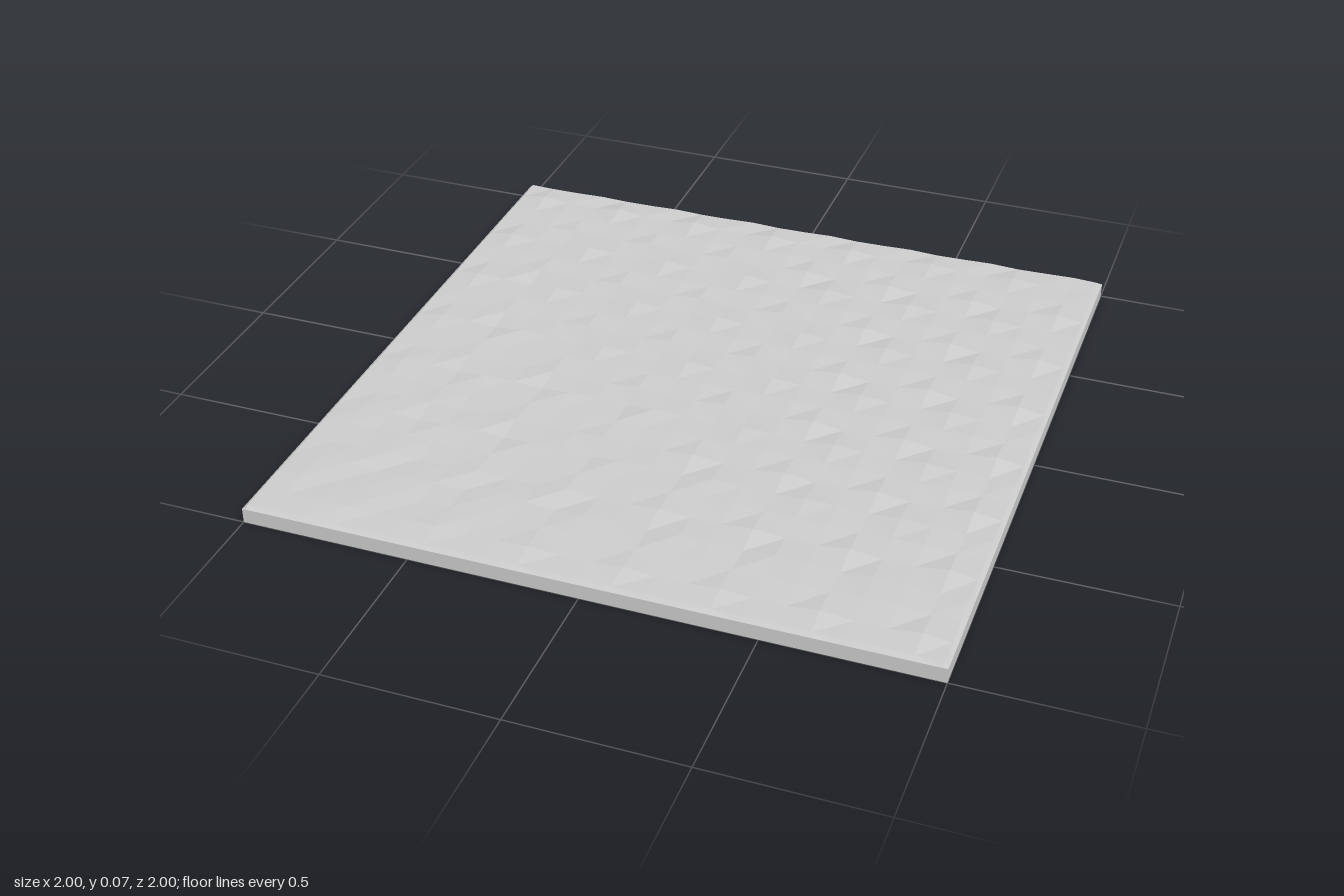
import * as THREE from 'three';

const CELLS = 22, EDGE = 0.045, INSET = 0.012;

// Grid lines across the slab, with an extra pair for the bevelled rim
function gridLines() {
  const lines = [-1, -1 + INSET];
  for (let i = 1; i < CELLS; i++) lines.push(-1 + (2 * i) / CELLS);
  lines.push(1 - INSET, 1);
  return lines;
}

// Interfering waves give the small pits, diagonal grooves and ridges
function height(x, z) {
  const d = Math.max(Math.abs(x), Math.abs(z));
  if (d > 0.999) return EDGE;
  const pits = Math.sin(22.7 * x) * Math.cos(22.7 * (z - 0.91));
  const grooves = Math.sin(24 * (x - z) + 0.8);
  const y = 0.058 + 0.0055 * pits + 0.0025 * grooves;
  return d > 0.95 ? 0.055 + (y - 0.058) * 0.4 : y;
}

function createSurface() {
  const lines = gridLines(), n = lines.length, pos = [];
  const point = (i, j) => [lines[i], height(lines[i], lines[j]), lines[j]];
  for (let j = 0; j < n - 1; j++) {
    for (let i = 0; i < n - 1; i++) {
      const a = point(i, j), b = point(i + 1, j);
      const c = point(i + 1, j + 1), d = point(i, j + 1);
      // Fold each cell along its more level diagonal
      const level = Math.abs(a[1] - c[1]) < Math.abs(b[1] - d[1]);
      const corners = level ? [a, d, c, a, c, b] : [a, d, b, b, d, c];
      corners.forEach((p) => pos.push(...p));
    }
  }
  const geometry = new THREE.BufferGeometry();
  geometry.setAttribute('position', new THREE.Float32BufferAttribute(pos, 3));
  geometry.computeVertexNormals();
  return geometry;
}

export function createModel() {
  const group = new THREE.Group();
  group.name = 'groundTile';
  const material = new THREE.MeshStandardMaterial({ color: 0xcccccc, flatShading: true });

  // Flat slab under the relief
  const slab = new THREE.Mesh(new THREE.BoxGeometry(2, EDGE, 2), material);
  slab.name = 'slab';
  slab.position.y = EDGE / 2;

  // Faceted, uneven top with a bevelled rim
  const surface = new THREE.Mesh(createSurface(), material);
  surface.name = 'unevenSurface';

  group.add(slab, surface);
  return group;
}
